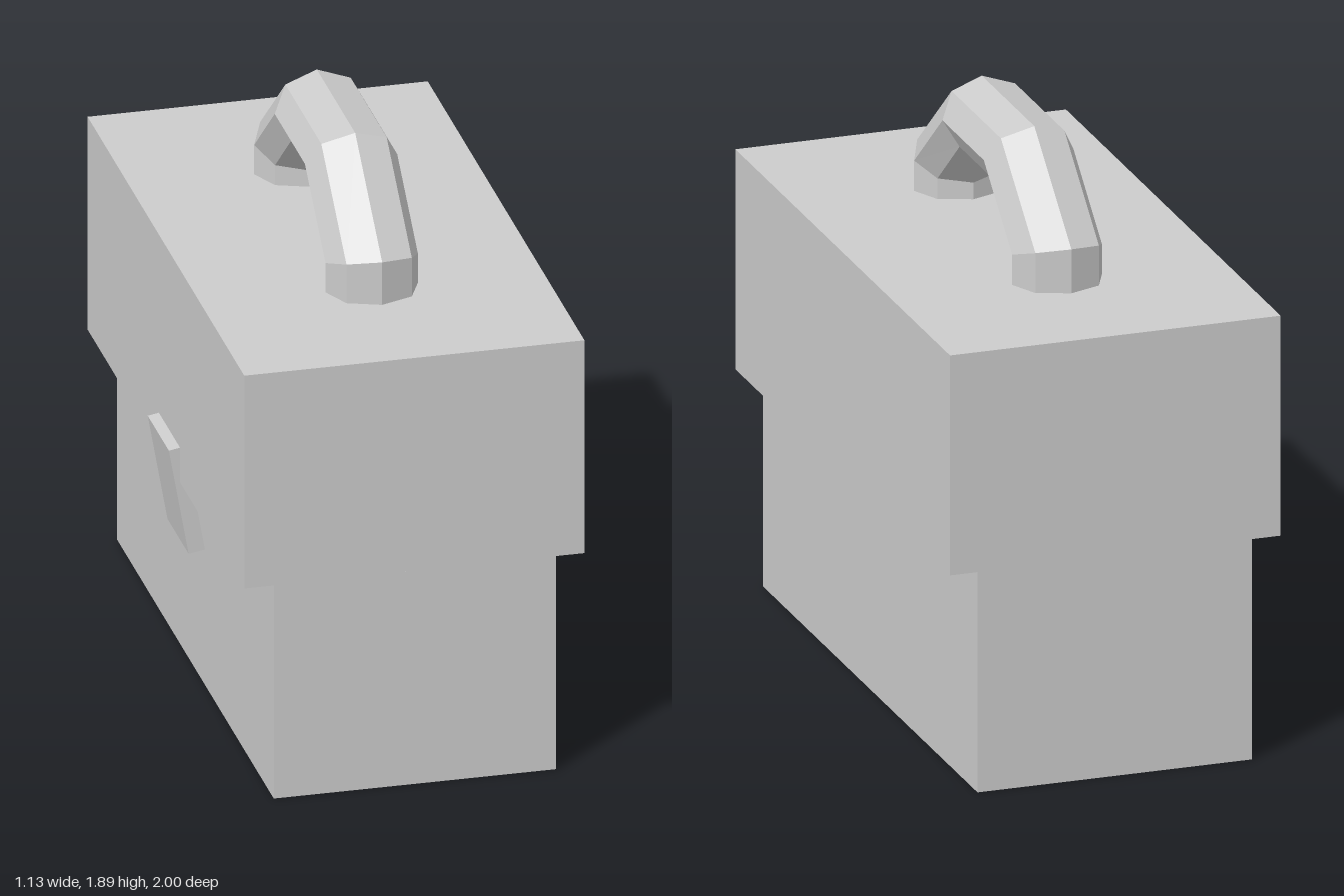
import * as THREE from 'three';

const grey = new THREE.MeshStandardMaterial({ color: 0xcccccc });
grey.name = 'grey';

function box(name, size, position) {
  const mesh = new THREE.Mesh(new THREE.BoxGeometry(...size), grey);
  mesh.name = name;
  mesh.position.set(...position);
  return mesh;
}

// Faceted grip: octagonal rings between an outer and an inner arch, as [z, y]
function handleGeometry() {
  const outer = [[0.59, 1.455], [0.59, 1.6], [0.245, 1.89], [-0.245, 1.89], [-0.59, 1.6], [-0.59, 1.455]];
  const inner = [[0.322, 1.455], [0.322, 1.51], [0.14, 1.665], [-0.14, 1.665], [-0.322, 1.51], [-0.322, 1.455]];
  const sides = 8, halfWidth = 0.148;
  const points = [], index = [];
  outer.forEach(([oz, oy], i) => {
    const [iz, iy] = inner[i];
    for (let j = 0; j < sides; j++) {
      const a = (j / sides) * Math.PI * 2;
      const c = Math.cos(a) / 2;
      points.push(halfWidth * Math.sin(a), (oy + iy) / 2 + (oy - iy) * c, (oz + iz) / 2 + (oz - iz) * c);
      if (i < outer.length - 1) {
        const k = (j + 1) % sides, r = i * sides, n = r + sides;
        index.push(r + j, r + k, n + k, r + j, n + k, n + j);
      }
    }
  });
  const indexed = new THREE.BufferGeometry();
  indexed.setAttribute('position', new THREE.Float32BufferAttribute(points, 3));
  indexed.setIndex(index);
  const geometry = indexed.toNonIndexed();
  geometry.computeVertexNormals();
  return geometry;
}

export function createModel() {
  const group = new THREE.Group();
  group.name = 'toolbox';

  // Body with a wider lid
  group.add(box('base', [0.905, 0.728, 2], [0.018, 0.364, 0]));
  group.add(box('lid', [1.09, 0.727, 2], [0.016, 1.0915, 0]));

  // Tilted latch on the right side
  const latch = box('latch', [0.053, 0.365, 0.27], [-0.507, 0.665, 0.045]);
  latch.rotation.z = THREE.MathUtils.degToRad(10);
  group.add(latch);

  // Carrying handle
  const handle = new THREE.Mesh(handleGeometry(), grey);
  handle.name = 'handle';
  handle.position.x = 0.016;
  group.add(handle);

  return group;
}
